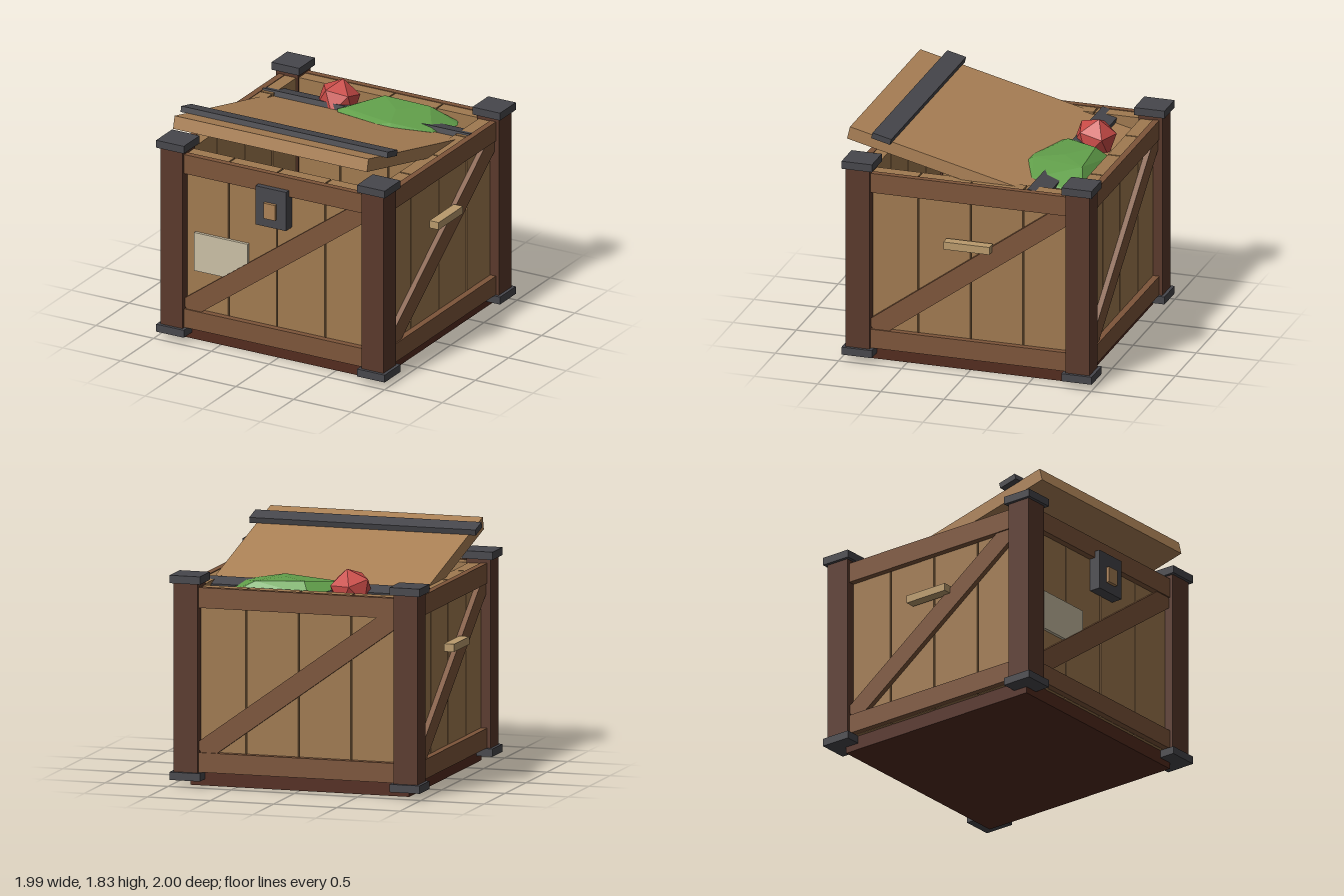
import * as THREE from 'three';
import { ConvexGeometry } from 'three/addons/geometries/ConvexGeometry.js';

const material = (name, color, extra = {}) => {
  const m = new THREE.MeshStandardMaterial({ color, ...extra });
  m.name = name;
  return m;
};

export function createModel() {
  const plankWood = material('plank wood', 0xa07a50);
  const lidWood = material('lid wood', 0xab8156);
  const railWood = material('rail wood', 0x7d553a);
  const postWood = material('post wood', 0x5a392b);
  const floorWood = material('floor wood', 0x532b1e);
  const iron = material('iron', 0x47474c);
  const handleWood = material('handle wood', 0xb99a6c);
  const paper = material('paper', 0xcabfa5);
  const green = material('leaf green', 0x62a04b, { flatShading: true });
  const red = material('fruit red', 0xc94b47, { flatShading: true });

  const model = new THREE.Group();
  model.name = 'crate';
  const crate = new THREE.Group();
  crate.name = 'crateBody';
  crate.position.z = -0.01;
  model.add(crate);

  // Box given by its size and centre
  const box = (parent, name, mat, w, h, d, x, y, z) => {
    const mesh = new THREE.Mesh(new THREE.BoxGeometry(w, h, d), mat);
    mesh.name = name;
    mesh.position.set(x, y, z);
    parent.add(mesh);
    return mesh;
  };

  // Floor slab
  box(crate, 'floor', floorWood, 1.73, 0.115, 1.73, 0, 0.0575, 0);

  // Corner posts with iron caps
  for (const sx of [-1, 1]) {
    for (const sz of [-1, 1]) {
      box(crate, 'cornerPost', postWood, 0.19, 1.47, 0.19, sx * 0.87, 0.825, sz * 0.87);
      box(crate, 'lowerCap', iron, 0.24, 0.06, 0.24, sx * 0.87, 0.08, sz * 0.87);
      box(crate, 'upperCap', iron, 0.24, 0.06, 0.24, sx * 0.87, 1.58, sz * 0.87);
    }
  }

  // Four walls: planks with gaps, two rails and a diagonal brace
  ['frontWall', 'leftWall', 'backWall', 'rightWall'].forEach((name, i) => {
    const wall = new THREE.Group();
    wall.name = name;
    wall.rotation.y = (i * Math.PI) / 2;
    for (let p = 0; p < 4; p++) {
      box(wall, 'plank', plankWood, 0.405, 1.405, 0.1, (p - 1.5) * 0.417, 0.8125, 0.84);
    }
    box(wall, 'lowerRail', railWood, 1.6, 0.15, 0.05, 0, 0.187, 0.915);
    box(wall, 'upperRail', railWood, 1.6, 0.155, 0.05, 0, 1.4425, 0.915);
    box(wall, 'brace', railWood, 1.88, 0.154, 0.04, 0, 0.815, 0.91).rotation.z = 0.627;
    crate.add(wall);
  });

  // Side handles
  for (const s of [-1, 1]) {
    box(crate, 'handle', handleWood, 0.08, 0.06, 0.365, s * 0.955, 1.03, 0);
  }

  // Latch and paper note on the front
  box(crate, 'latchPlate', iron, 0.265, 0.315, 0.09, 0, 1.26, 0.94);
  box(crate, 'latchPeg', lidWood, 0.1, 0.125, 0.04, 0, 1.24, 0.99);
  box(crate, 'paperNote', paper, 0.465, 0.31, 0.03, -0.473, 0.735, 0.899);

  // Tilted lid with two iron straps
  const lid = new THREE.Group();
  lid.name = 'lid';
  lid.position.set(0, 1.572, 0.1);
  lid.rotation.x = -0.24;
  box(lid, 'lidBoard', lidWood, 1.68, 0.1, 1.8, 0, 0, 0);
  for (const s of [-1, 1]) {
    box(lid, 'lidStrap', iron, 1.79, 0.045, 0.153, 0, 0.07, s * 0.632);
  }
  model.add(lid);

  // Flat faceted leaf lying on the lid
  const leafPoints = [
    [-0.04, 1.48, -0.8], [0.6, 1.45, -0.8], [0.64, 1.45, -0.74], [0.645, 1.46, -0.6],
    [0.61, 1.505, -0.4], [0.32, 1.53, -0.275], [0.2, 1.53, -0.28], [-0.2, 1.51, -0.38],
    [-0.23, 1.51, -0.43], [-0.15, 1.49, -0.62],
    [0.22, 1.565, -0.53], [0.02, 1.57, -0.71], [0.4, 1.555, -0.73], [0.3, 1.55, -0.31],
    [-0.17, 1.535, -0.43], [0.2, 1.36, -0.55],
  ].map((p) => new THREE.Vector3(...p));
  const leaf = new THREE.Mesh(new ConvexGeometry(leafPoints), green);
  leaf.name = 'leaf';
  model.add(leaf);

  // Faceted round fruit
  const fruit = new THREE.Mesh(new THREE.IcosahedronGeometry(0.17, 0), red);
  fruit.name = 'fruit';
  fruit.position.set(-0.315, 1.505, -0.595);
  fruit.rotation.set(0.1, 1.2, 0.2);
  model.add(fruit);

  return model;
}
